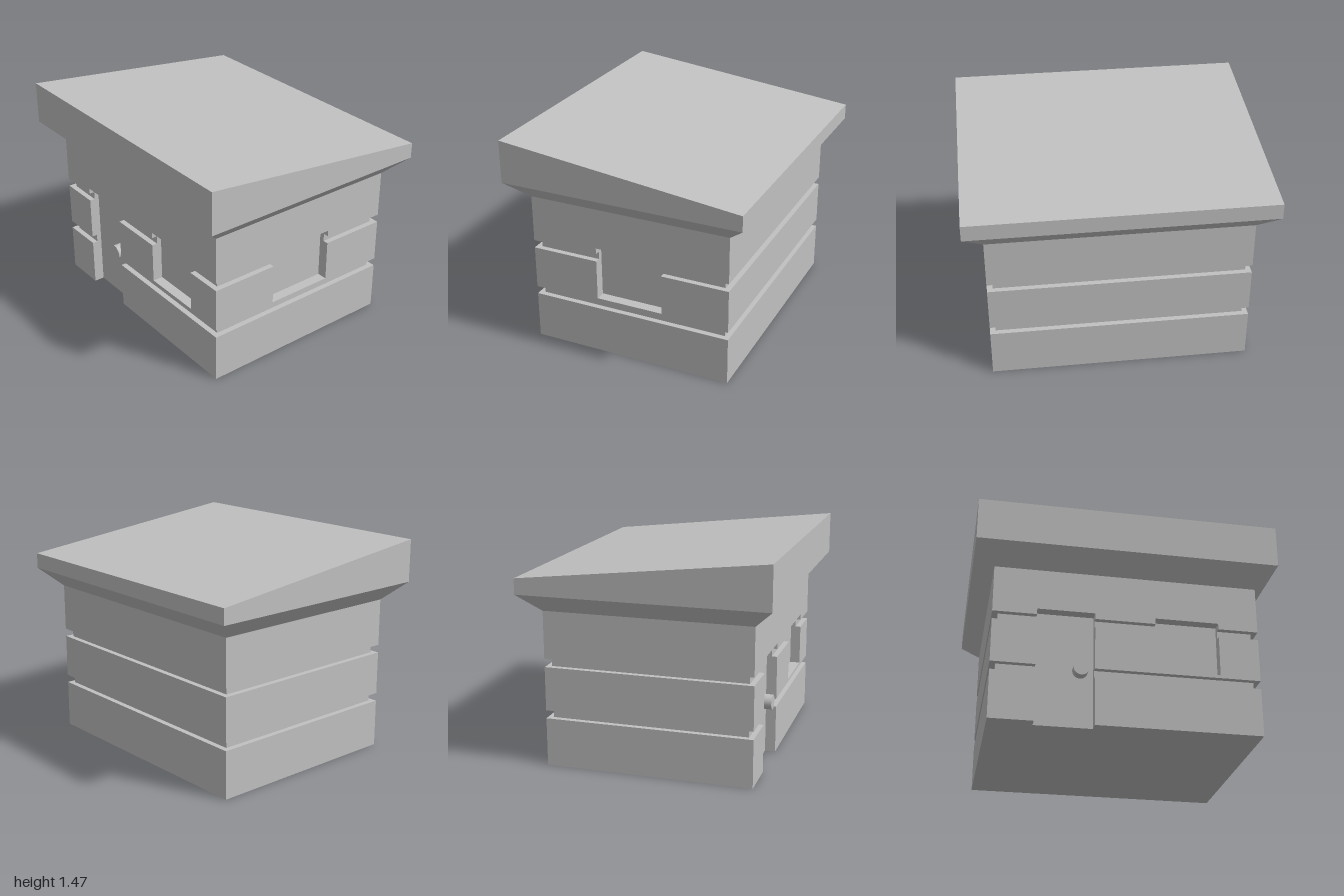
import * as THREE from 'three';

const W = 0.87, D = 0.695;      // half width and half depth of the walls
const RW = 1, RD = 0.825;       // half width and half depth of the roof
const GROOVE = 0.037, RECESS = 0.07;

const door = { from: -0.585, to: -0.21 };
const frontWindow = { from: 0.185, to: 0.605 };
const sideWindow = { from: -0.232, to: 0.232 };

// Plan outline of one wall course, notched for the openings it passes.
function courseShape(inset, hasDoor, hasWindows) {
  const w = W - inset, d = D - inset;
  const pts = [[-w, -d], [-w, d]];
  const frontOpenings = [];
  if (hasDoor) frontOpenings.push(door);
  if (hasWindows) frontOpenings.push(frontWindow);
  for (const { from, to } of frontOpenings) {
    pts.push([from, d], [from, D - RECESS], [to, D - RECESS], [to, d]);
  }
  pts.push([w, d]);
  if (hasWindows) {
    const { from, to } = sideWindow;
    pts.push([w, to], [W - RECESS, to], [W - RECESS, from], [w, from]);
  }
  pts.push([w, -d]);
  return new THREE.Shape(pts.map(([x, z]) => new THREE.Vector2(x, -z)));
}

// Box between two heights whose corners are reshaped by a rule.
function shapedBox(y0, y1, rule) {
  const geo = new THREE.BoxGeometry(2 * RW, y1 - y0, 2 * RD);
  geo.translate(0, (y0 + y1) / 2, 0);
  const p = geo.attributes.position;
  const v = new THREE.Vector3();
  const mid = (y0 + y1) / 2;
  for (let i = 0; i < p.count; i++) {
    v.fromBufferAttribute(p, i);
    rule(v, v.y > mid);
    p.setXYZ(i, v.x, v.y, v.z);
  }
  geo.computeVertexNormals();
  return geo;
}

export function createModel() {
  const group = new THREE.Group();
  const grey = new THREE.MeshStandardMaterial({ color: 0xc0c0c0 });
  grey.name = 'plain grey';
  const add = (name, geo) => {
    const mesh = new THREE.Mesh(geo, grey);
    mesh.name = name;
    group.add(mesh);
    return mesh;
  };

  // Wall courses: bottom, top, inset, door, windows
  const courses = [
    ['lowerWall', 0, 0.325, 0, true, false],
    ['lowerGroove', 0.325, 0.38, GROOVE, true, false],
    ['windowSill', 0.38, 0.4, 0, true, false],
    ['middleWall', 0.4, 0.675, 0, true, true],
    ['upperGroove', 0.675, 0.73, GROOVE, true, true],
    ['openingHeads', 0.73, 0.77, 0, true, true],
    ['upperWall', 0.77, 1.05, 0, false, false],
  ];
  for (const [name, y0, y1, inset, hasDoor, hasWindows] of courses) {
    const geo = new THREE.ExtrudeGeometry(courseShape(inset, hasDoor, hasWindows), {
      depth: y1 - y0, bevelEnabled: false,
    });
    geo.rotateX(-Math.PI / 2);
    add(name, geo).position.y = y0;
  }

  // Flared eaves under the roof
  add('eaves', shapedBox(1.05, 1.175, (v, top) => {
    if (!top) { v.x = Math.sign(v.x) * W; v.z = Math.sign(v.z) * D; }
  }));

  // Roof slab sloping down to the back
  add('roof', shapedBox(1.175, 1.465, (v, top) => {
    if (top && v.z < 0) v.y = 1.28;
  }));

  // Round door knob
  const knob = new THREE.CylinderGeometry(0.05, 0.05, RECESS - 0.005, 32);
  knob.rotateX(Math.PI / 2);
  add('doorKnob', knob).position.set(-0.295, 0.385, D - RECESS / 2 - 0.0025);

  return group;
}
